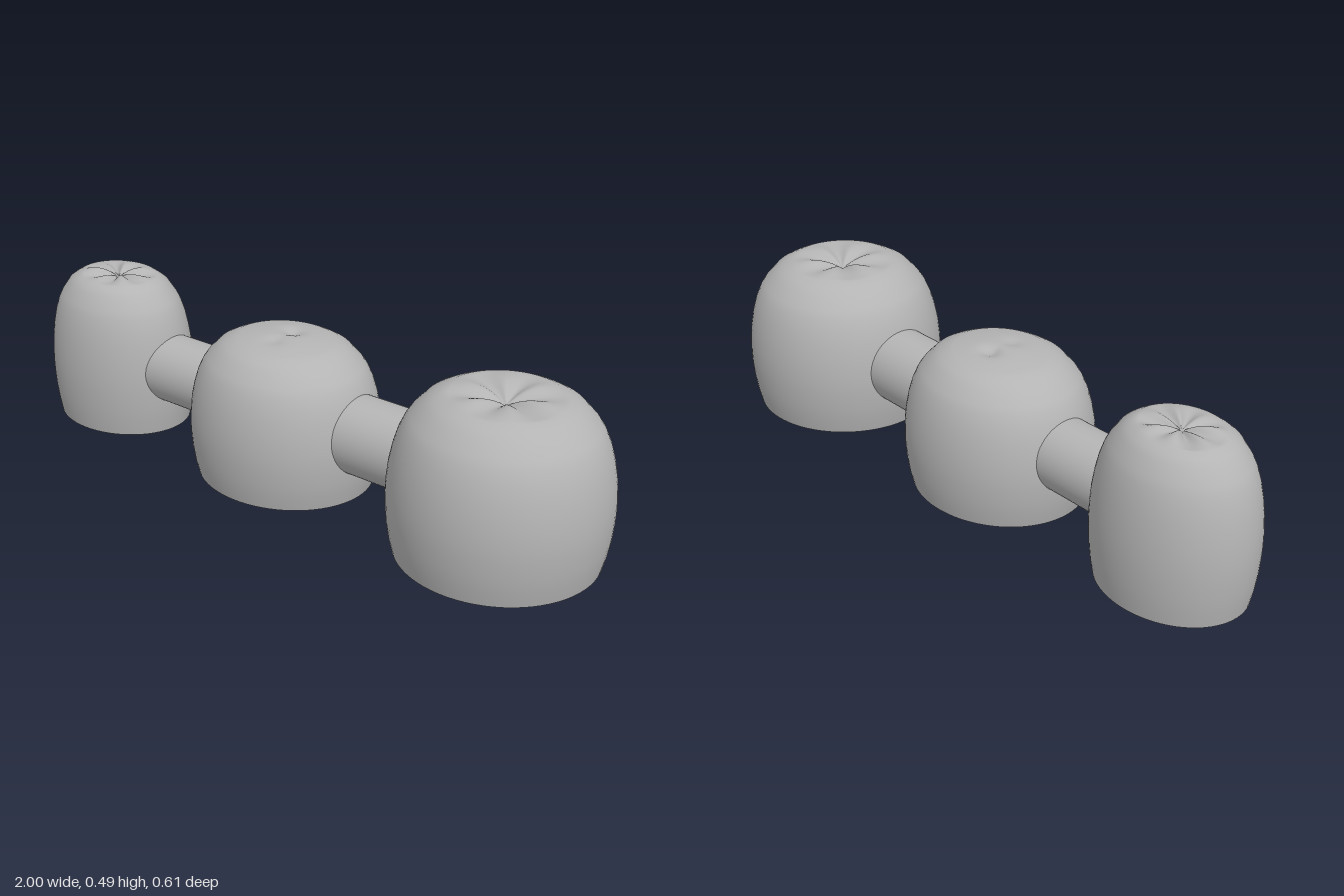
import * as THREE from 'three';
import { mergeVertices } from 'three/addons/utils/BufferGeometryUtils.js';

const ceramic = new THREE.MeshStandardMaterial({ color: 0xb4b4b4 });
ceramic.name = 'grey ceramic';

// Unit crown profile, rim to shoulder: [radius, height]
const WALL = [[0.93, 0], [0.965, 0.1], [0.987, 0.2], [0.998, 0.3], [1, 0.37], [0.996, 0.45], [0.98, 0.55],
  [0.95, 0.65], [0.91, 0.74], [0.86, 0.815], [0.81, 0.865], [0.70, 0.945], [0.62, 0.975], [0.54, 1]];
const TOP = 0.54;

// Lathe stretched to an ellipse, with an optional biting surface relief
function shell(points, rx, rz, h, relief) {
  const lathe = new THREE.LatheGeometry(points.map(([r, y]) => new THREE.Vector2(r, y)), 72);
  lathe.deleteAttribute('uv');
  lathe.deleteAttribute('normal');
  const p = lathe.attributes.position;
  for (let i = 0; i < p.count; i++) {
    const x = p.getX(i), z = p.getZ(i), r = Math.hypot(x, z);
    const u = r / TOP;
    const lift = relief && u < 0.999 && p.getY(i) > 0.99 ? relief(u, r < 1e-4 ? 0 : Math.atan2(z, x), x, z) : 0;
    p.setXYZ(i, x * rx, p.getY(i) * h + lift, z * rz);
  }
  const g = mergeVertices(lathe, 1e-5);
  g.computeVertexNormals();
  return g;
}

function crown({ name, x, rx, rz, h, wall, relief }) {
  const group = new THREE.Group();
  group.name = name;
  group.position.x = x;
  const add = (part, geometry) => {
    const mesh = new THREE.Mesh(geometry, ceramic);
    mesh.name = part;
    group.add(mesh);
  };
  // Outer surface with a ringed top
  const outer = [...WALL];
  for (let i = 9; i >= 0; i--) outer.push([TOP * i / 10, 1]);
  add('outerShell', shell(outer, rx, rz, h, relief));
  // Hollow inside, wound inwards
  const k = 1 - wall;
  const inner = [[0, 0.86], ...WALL.map(([r, y]) => [r * k, y * 0.86]).reverse()];
  add('innerCavity', shell(inner, rx, rz, h));
  // Flat ring underneath
  add('rim', shell([[0.93 * k, 0], [0.93, 0]], rx, rz, h));
  return group;
}

// Round bar joining two neighbouring crowns
function connector(name, x0, x1, y, radius) {
  const mesh = new THREE.Mesh(new THREE.CylinderGeometry(radius, radius, x1 - x0, 48), ceramic);
  mesh.name = name;
  mesh.rotation.z = Math.PI / 2;
  mesh.position.set((x0 + x1) / 2, y, 0);
  return mesh;
}

export function createModel() {
  const model = new THREE.Group();
  model.name = 'dentalBridge';
  const dent = (x, z, cx, cz, s) => Math.exp(-((x - cx) ** 2 + (z - cz) ** 2) / (s * s));

  model.add(
    crown({
      name: 'smallCrown', x: -0.753, rx: 0.247, rz: 0.205, h: 0.473, wall: 0.23,
      // Jagged cusps around a shallow pit
      relief: (u, a) => Math.sin(Math.PI * u) * (0.004 + 0.007 * Math.cos(7 * a + 1) + 0.004 * Math.sin(3 * a))
        - 0.012 * (1 - u) ** 3,
    }),
    crown({
      name: 'middleCrown', x: -0.066, rx: 0.3, rz: 0.266, h: 0.427, wall: 0.27,
      // Low dome with two small dents
      relief: (u, a, x, z) => 0.018 * (1 - u * u)
        - 0.016 * dent(x, z, 0, -0.14, 0.1) - 0.008 * dent(x, z, 0, 0.18, 0.1),
    }),
    crown({
      name: 'largeCrown', x: 0.686, rx: 0.314, rz: 0.307, h: 0.468, wall: 0.19,
      // Petals and grooves meeting in a central pit
      relief: (u, a) => Math.sin(Math.PI * u) * (0.004 + 0.007 * Math.cos(6 * a + 0.4))
        - 0.028 * (1 - u) ** 3,
    }),
    connector('smallConnector', -0.55, -0.3, 0.207, 0.108),
    connector('largeConnector', 0.165, 0.42, 0.204, 0.118),
  );
  return model;
}
